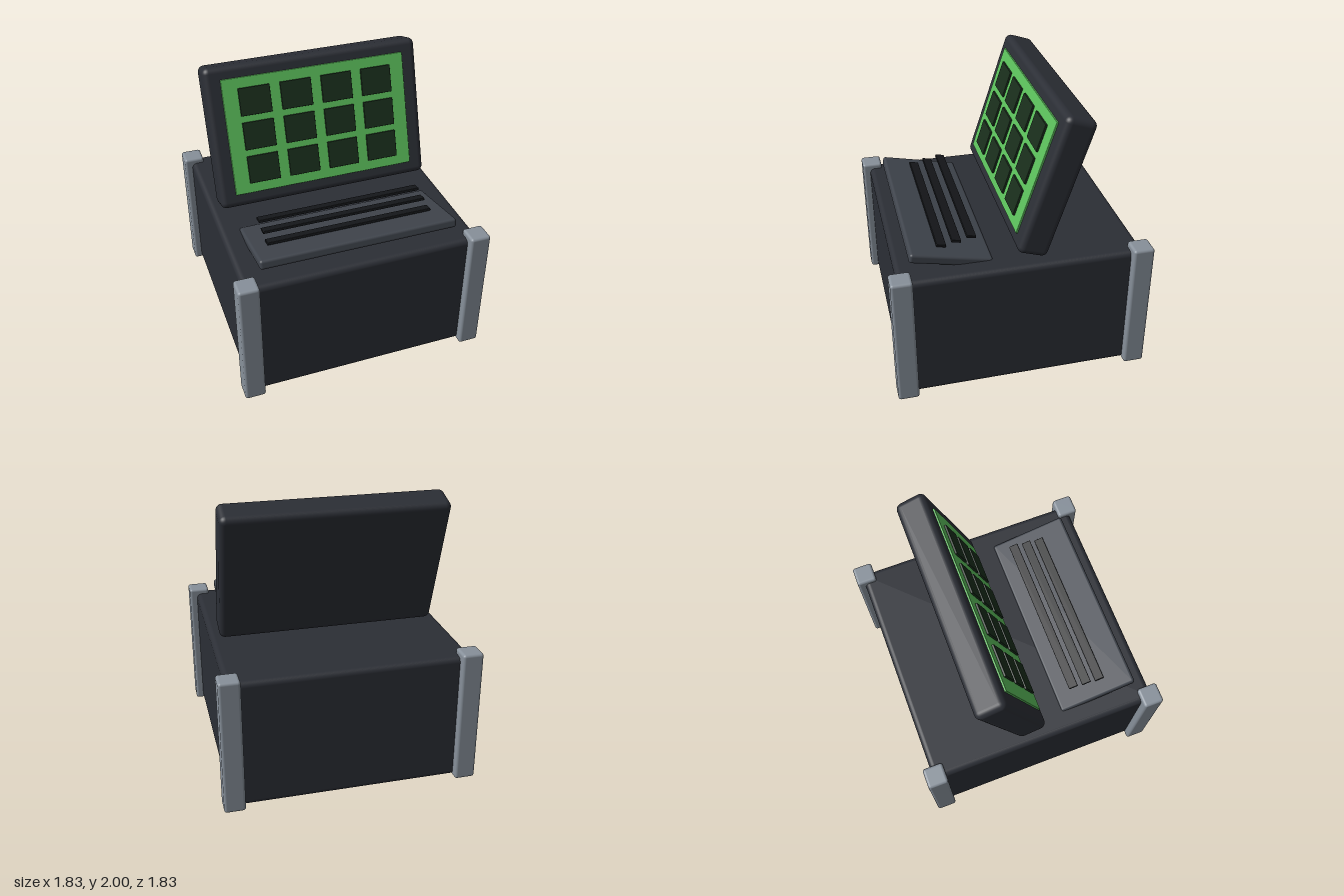
import * as THREE from 'three';
import { RoundedBoxGeometry } from 'three/addons/geometries/RoundedBoxGeometry.js';

const paint = (color) => new THREE.MeshStandardMaterial({ color });

// Adds a box with softened edges, centred on x, y, z
function addBox(parent, name, [w, h, d], radius, [x, y, z], material) {
  const mesh = new THREE.Mesh(new RoundedBoxGeometry(w, h, d, 4, radius), material);
  mesh.name = name;
  mesh.position.set(x, y, z);
  parent.add(mesh);
  return mesh;
}

export function createModel() {
  const model = new THREE.Group();
  model.name = 'consoleTerminal';

  const shell = paint(0x2b2e35);
  const steel = paint(0x87909a);
  const deckGrey = paint(0x3f444c);
  const green = paint(0x5cc05c);
  const darkGreen = paint(0x1a2e1c);
  const black = paint(0x15171a);

  // Cabinet with a post on each corner
  addBox(model, 'cabinet', [1.72, 0.952, 1.72], 0.04, [0, 0.48, 0], shell);
  for (const sx of [-1, 1]) {
    for (const sz of [-1, 1]) {
      addBox(model, 'cornerPost', [0.15, 0.995, 0.15], 0.02, [sx * 0.84, 0.4975, sz * 0.84], steel);
    }
  }

  // Monitor leaning back, with a green panel and a grid of tiles
  const monitor = new THREE.Group();
  monitor.name = 'monitor';
  monitor.position.set(0, 1.486, -0.228);
  monitor.rotation.x = -THREE.MathUtils.degToRad(18);
  model.add(monitor);
  addBox(monitor, 'monitorCase', [1.6, 1.032, 0.223], 0.045, [0, 0, 0], shell);
  addBox(monitor, 'screen', [1.37, 0.845, 0.03], 0.004, [0, 0.002, 0.109], green);
  for (let row = -1; row <= 1; row++) {
    for (let col = 0; col < 4; col++) {
      addBox(monitor, 'screenTile', [0.23, 0.2, 0.016], 0.003,
        [(col - 1.5) * 0.306, row * 0.248 + 0.002, 0.134], darkGreen);
    }
  }

  // Keyboard deck, raised at the front and sunk into the cabinet at the back
  const tilt = -0.21;
  const deck = addBox(model, 'keyboardDeck', [1.44, 0.07, 0.58], 0.02, [0, 0.99, 0.473], deckGrey);
  deck.rotation.x = tilt;

  // Key rows hover in steps above the deck
  for (let i = 0; i < 3; i++) {
    const row = addBox(model, 'keyRow', [1.22, 0.02, 0.068], 0.004,
      [0, 1.092 - i * 0.021, 0.312 + i * 0.105], black);
    row.rotation.x = tilt;
  }

  return model;
}
